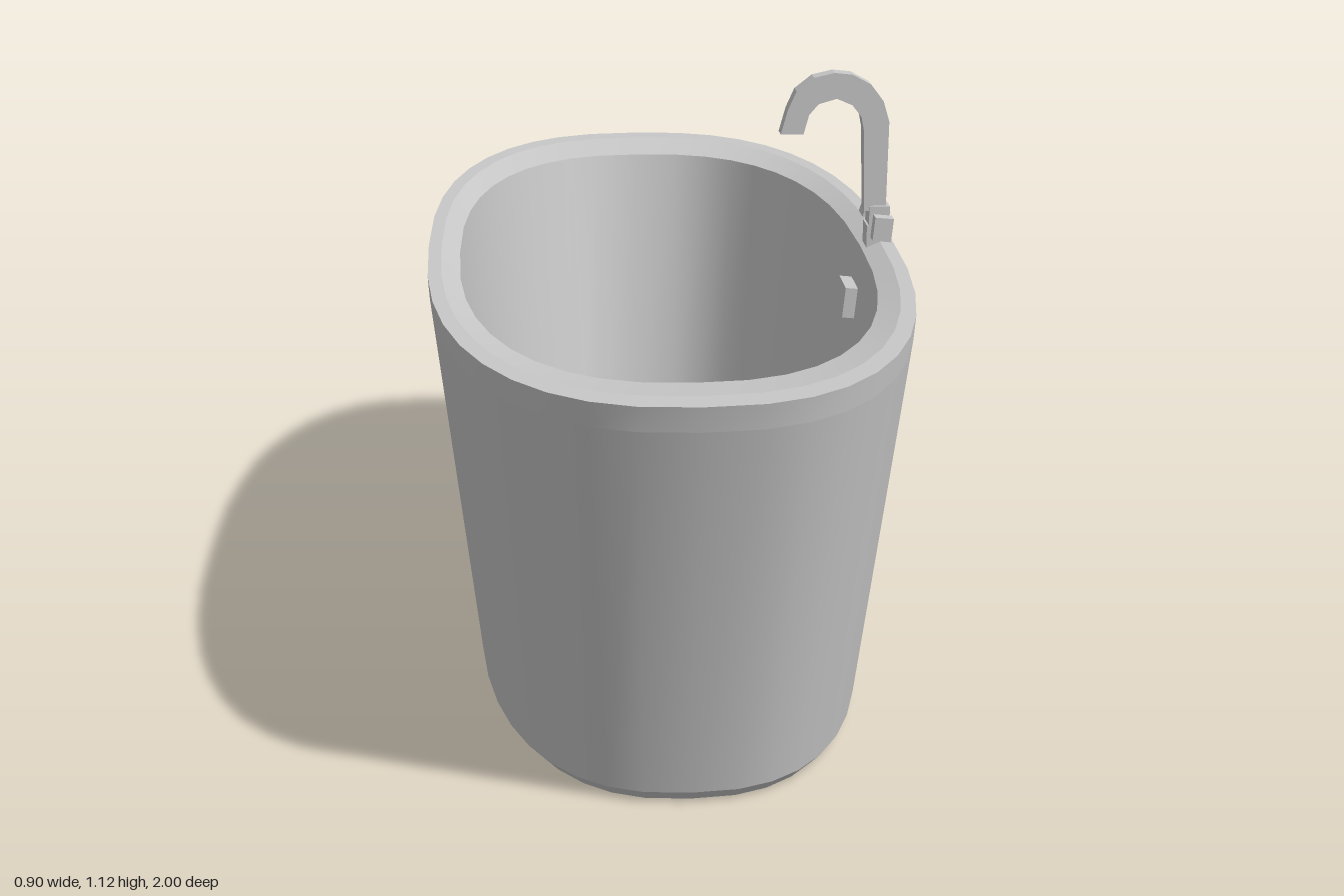
import * as THREE from 'three';

const SEGMENTS = 40;

// One point on a rounded oval with half width rx and half length rz
function ovalPoint([rx, rz, y], i) {
  const a = (i / SEGMENTS) * Math.PI * 2;
  const c = Math.cos(a), s = Math.sin(a), p = 2 / 2.5;
  return [Math.sign(c) * Math.abs(c) ** p * rx, y, Math.sign(s) * Math.abs(s) ** p * rz];
}

// Smooth band between two ovals; separate bands keep the edges between them crisp
function band(from, to) {
  const positions = [], index = [];
  for (const ring of [from, to]) {
    for (let i = 0; i < SEGMENTS; i++) positions.push(...ovalPoint(ring, i));
  }
  for (let i = 0; i < SEGMENTS; i++) {
    const j = (i + 1) % SEGMENTS;
    index.push(i, SEGMENTS + i, j, j, SEGMENTS + i, SEGMENTS + j);
  }
  const g = new THREE.BufferGeometry();
  g.setAttribute('position', new THREE.Float32BufferAttribute(positions, 3));
  g.setIndex(index);
  g.computeVertexNormals();
  return g;
}

export function createModel() {
  const model = new THREE.Group();
  model.name = 'bathtub';
  const enamel = new THREE.MeshStandardMaterial({ color: 0xc8c8c8 });
  enamel.name = 'pale grey enamel';

  const add = (parent, name, geometry, x = 0, y = 0, z = 0) => {
    const mesh = new THREE.Mesh(geometry, enamel);
    mesh.name = name;
    mesh.position.set(x, y, z);
    parent.add(mesh);
    return mesh;
  };

  // Tub shell, from the underside up the outside, over the rim and down to the floor
  const tub = new THREE.Group();
  tub.name = 'tub';
  model.add(tub);
  const rings = [
    [0, 0, 0], [0.345, 0.78, 0], [0.365, 0.8, 0.022], [0.447, 0.99, 0.745],
    [0.45, 1, 0.79], [0.425, 0.945, 0.79], [0.39, 0.833, 0.775],
    [0.33, 0.715, 0.2], [0, 0, 0.2],
  ];
  const names = ['underside', 'footBevel', 'outerWall', 'rimSide', 'rimTop',
    'rimSlope', 'innerWall', 'tubFloor'];
  names.forEach((name, i) => add(tub, name, band(rings[i], rings[i + 1])));

  // Overflow cover on the inner wall below the tap
  const overflow = add(tub, 'overflowCover', new THREE.BoxGeometry(0.035, 0.06, 0.09), 0.372, 0.67, 0);
  overflow.rotation.z = -0.1;

  // Tap
  const tap = new THREE.Group();
  tap.name = 'tap';
  tap.position.z = 0.005;
  model.add(tap);
  add(tap, 'tapBase', new THREE.BoxGeometry(0.044, 0.045, 0.05), 0.42, 0.8, 0);
  add(tap, 'tapBody', new THREE.BoxGeometry(0.04, 0.052, 0.05), 0.422, 0.834, 0);

  // Faceted gooseneck spout, cut from a flat hooked outline
  const outline = [
    [0.393, 0.85], [0.435, 0.85], [0.437, 1.025], [0.425, 1.065], [0.4, 1.098],
    [0.365, 1.117], [0.33, 1.121], [0.29, 1.112], [0.257, 1.086], [0.241, 1.05],
    [0.228, 1.003], [0.272, 1.003], [0.282, 1.04], [0.3, 1.061], [0.335, 1.071],
    [0.365, 1.058], [0.383, 1.035], [0.388, 1.01],
  ].map(([x, y]) => new THREE.Vector2(x, y));
  const spout = new THREE.ExtrudeGeometry(new THREE.Shape(outline), { depth: 0.036, bevelEnabled: false });
  add(tap, 'spout', spout, 0, 0, -0.018);

  // Cross bar with a lever at the back and a knob at the front
  add(tap, 'crossBar', new THREE.BoxGeometry(0.026, 0.022, 0.13), 0.422, 0.828, 0);
  const lever = add(tap, 'lever', new THREE.BoxGeometry(0.05, 0.024, 0.05), 0.424, 0.832, -0.049);
  lever.rotation.z = -0.3;
  const knob = add(tap, 'knob', new THREE.BoxGeometry(0.036, 0.046, 0.028), 0.422, 0.826, 0.061);
  knob.rotation.z = -0.1;

  return model;
}
